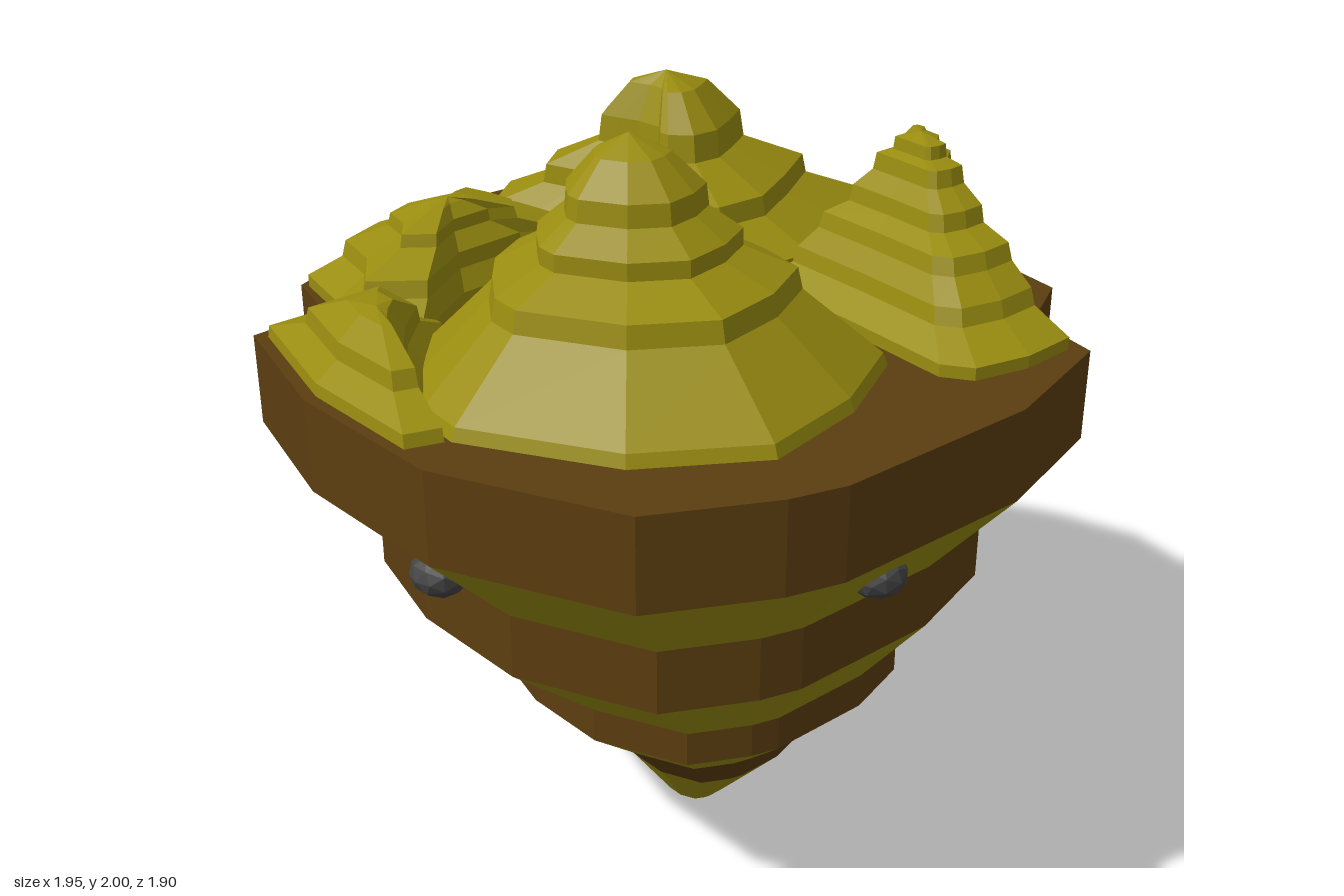
import * as THREE from 'three';

const grass = new THREE.MeshStandardMaterial({ color: 0x998c10, flatShading: true, side: THREE.DoubleSide });
const earth = new THREE.MeshStandardMaterial({ color: 0x5c3e10, flatShading: true, side: THREE.DoubleSide });
const stone = new THREE.MeshStandardMaterial({ color: 0x444444, flatShading: true });

// Stacks scaled copies of an [x, z] outline; each ring is [y, scale, centreX, centreZ], bottom to top
function loft(name, outline, rings, material) {
  const pts = outline.map(([x, z]) => new THREE.Vector2(x, z));
  if (THREE.ShapeUtils.isClockWise(pts)) pts.reverse();
  const n = pts.length;
  const pos = [];
  const put = ([y, s, cx, cz], p) => pos.push(cx + p.x * s, y, cz + p.y * s);
  for (let r = 0; r < rings.length - 1; r++) {
    const lo = rings[r], hi = rings[r + 1];
    for (let i = 0; i < n; i++) {
      const a = pts[i], b = pts[(i + 1) % n];
      if (lo[1] > 0) { put(lo, b); put(lo, a); put(hi, a); }
      if (hi[1] > 0) { put(lo, b); put(hi, a); put(hi, b); }
    }
  }
  const geo = new THREE.BufferGeometry();
  geo.setAttribute('position', new THREE.Float32BufferAttribute(pos, 3));
  geo.computeVertexNormals();
  const mesh = new THREE.Mesh(geo, material);
  mesh.name = name;
  return mesh;
}

// Terraced mound: the outline shrinks towards the peak following [y, scale] steps
function hill(name, [px, pz], outline, steps) {
  const local = outline.map(([x, z]) => [x - px, z - pz]);
  return loft(name, local, steps.map(([y, s]) => [y, s, px, pz]), grass);
}

export function createModel() {
  const group = new THREE.Group();

  // Floating rock: one outline, narrowing downwards in alternating bands
  const coast = [
    [0.13, -0.96], [0.46, -0.93], [0.765, -0.79], [0.91, -0.43], [0.974, -0.15], [0.91, 0.15], [0.82, 0.2],
    [0.73, 0.57], [0.53, 0.66], [0.47, 0.86], [0.11, 0.945], [-0.42, 0.915], [-0.55, 0.87], [-0.81, 0.715],
    [-0.98, 0.28], [-0.96, -0.16], [-0.84, -0.54], [-0.635, -0.55], [-0.58, -0.73], [-0.38, -0.81], [-0.02, -0.77],
  ];
  const levels = [
    [0, 0.092, 0.11, -0.03], [0.18, 0.25, 0.13, -0.01], [0.32, 0.345, 0.1, 0], [0.49, 0.53, 0.084, 0.01],
    [0.58, 0.53, 0.084, 0.01], [0.84, 0.7625, 0.017, 0.008], [1, 0.7625, 0.017, 0.008], [1.25, 1, 0, 0], [1.47, 1, 0, 0],
  ];
  for (let i = 0; i < levels.length - 1; i++) {
    const band = i % 2 === 1;
    group.add(loft(band ? 'earthBand' : 'slopeBand', coast, [levels[i], levels[i + 1]], band ? earth : grass));
  }
  group.add(loft('bottomCap', coast, [[0, 0, 0.11, -0.03], levels[0]], earth));
  group.add(loft('plateau', coast, [levels[8], [1.47, 0, 0, 0]], earth));

  // Terraced hills
  group.add(hill('tallHill', [-0.32, 0.18], [
    [-0.17, -0.33], [-0.42, -0.29], [-0.6, -0.2], [-0.72, -0.07], [-0.84, 0.09], [-0.86, 0.22], [-0.69, 0.56],
    [-0.44, 0.74], [-0.16, 0.7], [0.08, 0.59], [0.13, 0.39], [0.17, 0.05], [0.07, -0.19], [0, -0.25],
  ], [[1.47, 1], [1.5, 0.98], [1.65, 0.66], [1.7, 0.64], [1.75, 0.43], [1.79, 0.43], [1.84, 0.3], [1.89, 0.29], [1.96, 0.16], [2, 0]]));

  group.add(hill('backHill', [0.38, -0.43], [
    [0.085, -0.8], [0.24, -0.91], [0.45, -0.91], [0.73, -0.78], [0.86, -0.46], [0.9, -0.19], [0.66, -0.06],
    [0.41, 0.055], [0.2, 0.035], [0.08, -0.1], [0.08, -0.18], [0.17, -0.29], [0.17, -0.5], [0.12, -0.66],
  ], [[1.47, 1], [1.505, 1], [1.57, 0.7], [1.62, 0.68], [1.69, 0.38], [1.76, 0.36], [1.85, 0.2], [1.885, 0]]));

  group.add(hill('frontHill', [0.43, 0.37], [
    [0.81, -0.09], [0.885, -0.06], [0.885, 0.07], [0.76, 0.2], [0.7, 0.49], [0.47, 0.63], [0.44, 0.82],
    [0.29, 0.82], [0.15, 0.78], [0.11, 0.71], [0.16, 0.4], [0.2, 0.08], [0.41, 0.085],
  ], [[1.47, 1], [1.5, 1], [1.55, 0.78], [1.59, 0.75], [1.64, 0.62], [1.68, 0.59], [1.71, 0.43],
    [1.75, 0.41], [1.79, 0.29], [1.83, 0.27], [1.84, 0.17], [1.87, 0.16], [1.885, 0]]));

  group.add(hill('lowHill', [-0.32, -0.46], [
    [0.06, -0.77], [0.1, -0.6], [0.12, -0.4], [0.04, -0.28], [-0.1, -0.36], [-0.37, -0.35], [-0.6, -0.22],
    [-0.75, -0.35], [-0.62, -0.52], [-0.57, -0.71], [-0.38, -0.78], [-0.02, -0.72],
  ], [[1.47, 1], [1.5, 1], [1.55, 0.75], [1.59, 0.72], [1.63, 0.42], [1.66, 0.4], [1.69, 0.15], [1.7, 0]]));

  group.add(hill('sideHill', [-0.77, -0.14], [
    [-0.95, 0.18], [-0.87, 0.21], [-0.8, 0.05], [-0.68, -0.1], [-0.52, -0.24], [-0.5, -0.5], [-0.82, -0.51], [-0.93, -0.16],
  ], [[1.47, 1], [1.5, 0.98], [1.54, 0.64], [1.58, 0.6], [1.63, 0.25], [1.64, 0]]));

  // Stones lodged in the slopes
  const stones = [[-0.18, 1.13, 0.8], [-0.1, 1.25, -0.74], [-0.82, 1.1, 0.1], [0.25, 0.66, -0.56]];
  for (const [x, y, z] of stones) {
    const mesh = new THREE.Mesh(new THREE.IcosahedronGeometry(0.07, 1), stone);
    mesh.position.set(x, y, z);
    mesh.scale.y = 0.8;
    mesh.name = 'stone';
    group.add(mesh);
  }
  return group;
}
